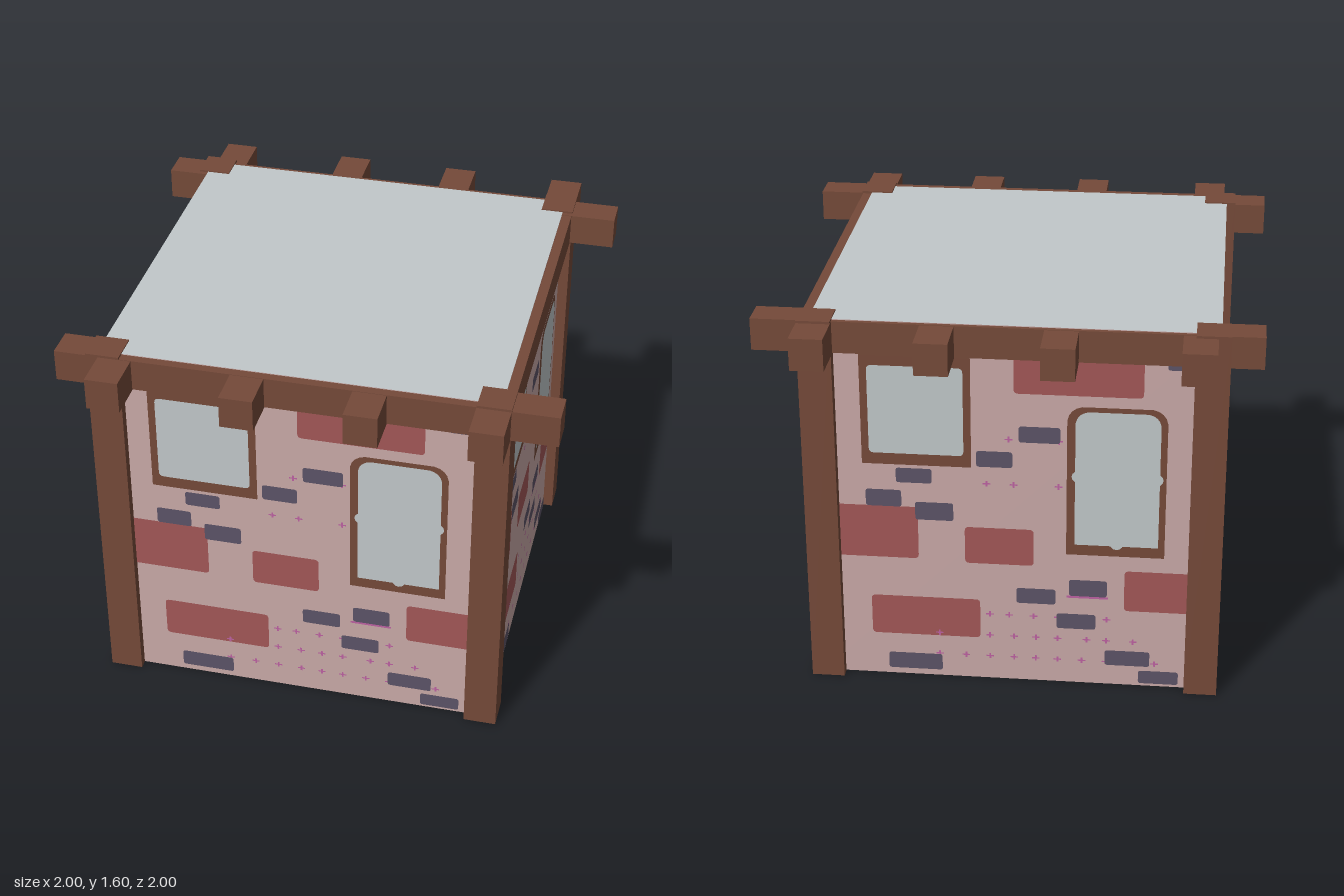
import * as THREE from 'three';

const paint = (name, color) => {
  const m = new THREE.MeshStandardMaterial({ color });
  m.name = name;
  return m;
};

// Rounded rectangle from its left, right, bottom and top edges
function plateShape([l, r, b, t], rad) {
  const s = new THREE.Shape();
  s.moveTo(l + rad, b);
  s.lineTo(r - rad, b).quadraticCurveTo(r, b, r, b + rad);
  s.lineTo(r, t - rad).quadraticCurveTo(r, t, r - rad, t);
  s.lineTo(l + rad, t).quadraticCurveTo(l, t, l, t - rad);
  s.lineTo(l, b + rad).quadraticCurveTo(l, b, l + rad, b);
  return s;
}

// Window outline with a square sill and clipped upper corners
function archShape([l, r, b, t], c) {
  const s = new THREE.Shape();
  s.moveTo(l, b);
  s.lineTo(r, b).lineTo(r, t - c);
  s.quadraticCurveTo(r - c * 0.15, t - c * 0.15, r - c, t);
  s.lineTo(l + c, t).quadraticCurveTo(l + c * 0.15, t - c * 0.15, l, t - c);
  return s;
}

// Wall details as [left, right, bottom, top], measured from the wall centre
const redBricks = [
  [0, 0.51, 1.31, 1.592], [-0.78, -0.39, 0.555, 0.79], [-0.2, 0.08, 0.545, 0.71],
  [0.45, 0.78, 0.355, 0.54], [-0.59, -0.14, 0.195, 0.375],
];
const slateBricks = [
  [0.02, 0.185, 1.1, 1.17], [-0.15, -0.005, 0.985, 1.055], [-0.475, -0.33, 0.9, 0.965],
  [-0.6, -0.455, 0.79, 0.865], [-0.4, -0.245, 0.735, 0.815], [0.01, 0.17, 0.37, 0.44],
  [0.225, 0.38, 0.415, 0.49], [0.175, 0.335, 0.26, 0.33], [0.375, 0.56, 0.095, 0.165],
  [0.515, 0.68, 0.015, 0.075], [-0.525, -0.3, 0.03, 0.105], [0.6, 0.68, 1.435, 1.5],
  [-0.455, -0.295, 1.44, 1.51],
];
// Speck rows as [height, positions along the wall]
const speckRows = [
  [0.11, [-0.31, -0.2, -0.1, 0, 0.09, 0.18, 0.28, 0.38, 0.58]],
  [0.21, [-0.31, -0.1, 0, 0.09, 0.18, 0.3, 0.38, 0.49]],
  [0.31, [-0.1, -0.02, 0.08, 0.18, 0.38]],
  [0.91, [-0.11, 0, 0.18]], [1.11, [-0.02, 0.18]],
];

export function createModel() {
  const root = new THREE.Group();
  root.name = 'timberHouse';
  const timber = paint('timber brown', 0x754a39);
  const plaster = paint('pink plaster', 0xc9a9a7);
  const red = paint('red brick', 0xa25757);
  const slate = paint('slate brick', 0x5c5367);
  const glass = paint('pale grey', 0xc1c8ca);
  const floor = paint('dark floor', 0x5a656f);
  const pink = paint('magenta speck', 0xbd62a2);

  const add = (parent, name, geometry, material) => {
    const mesh = new THREE.Mesh(geometry, material);
    mesh.name = name;
    parent.add(mesh);
    return mesh;
  };
  const block = (name, x0, x1, y0, y1, z0, z1, material = timber) => {
    const mesh = add(root, name, new THREE.BoxGeometry(x1 - x0, y1 - y0, z1 - z0), material);
    mesh.position.set((x0 + x1) / 2, (y0 + y1) / 2, (z0 + z1) / 2);
  };

  // House body with its flat roof and floor
  const cx = -0.03, half = 0.802;
  block('body', cx - half, cx + half, 0.002, 1.595, -half, half,
    [plaster, plaster, glass, floor, plaster, plaster]);

  // Corner posts
  for (const [x0, x1] of [[-0.87, -0.735], [0.68, 0.815]])
    for (const [z0, z1] of [[0.705, 0.84], [-0.845, -0.71]])
      block('cornerPost', x0, x1, 0, 1.6, z0, z1);

  // Long beams along the front and back
  block('frontBeam', -1, 1, 1.46, 1.592, 0.706, 0.839);
  block('backBeam', -1, 1, 1.46, 1.592, -0.82, -0.69);

  // Joists running front to back, poking out at both ends
  for (const x of [-0.82, -0.285, 0.2, 0.679])
    block('joist', x, x + 0.134, 1.457, 1.59, -1, 1);

  // The same painted decoration on all four walls
  for (let i = 0; i < 4; i++) {
    const wall = new THREE.Group();
    wall.name = ['frontWall', 'rightWall', 'backWall', 'leftWall'][i];
    wall.position.x = cx;
    wall.rotation.y = i * Math.PI / 2;
    root.add(wall);
    const plate = (name, shape, material, lift) => {
      add(wall, name, new THREE.ShapeGeometry(shape, 4), material).position.z = half + lift;
    };

    redBricks.forEach(b => plate('redBrick', plateShape(b, 0.018), red, 0.002));
    slateBricks.forEach(b => plate('slateBrick', plateShape(b, 0.012), slate, 0.004));

    // Small flecks: a short dash with a tiny upright
    const fleck = (u, y, w, h) =>
      plate('speck', plateShape([u - w, u + w, y - h, y + h], 0.001), pink, 0.003);
    for (const [y, us] of speckRows)
      for (const u of us) {
        fleck(u, y, 0.016, 0.003);
        fleck(u, y, 0.004, 0.013);
      }
    fleck(0.3, 0.41, 0.085, 0.005);

    // Square window
    plate('squareWindowFrame', plateShape([-0.61, -0.17, 0.98, 1.455], 0.004), timber, 0.005);
    plate('squareWindowGlass', plateShape([-0.58, -0.2, 1.03, 1.41], 0.02), glass, 0.007);

    // Tall window with clipped corners and small bulges in the pane
    plate('tallWindowFrame', archShape([0.212, 0.608, 0.608, 1.265], 0.06), timber, 0.005);
    plate('tallWindowGlass', archShape([0.245, 0.582, 0.655, 1.245], 0.05), glass, 0.007);
    for (const [u, y] of [[0.257, 0.96], [0.57, 0.96], [0.415, 0.665]]) {
      const bulge = add(wall, 'tallWindowBulge', new THREE.CircleGeometry(0.026, 12), glass);
      bulge.position.set(u, y, half + 0.0075);
    }
  }
  // Side walls turn about the body centre
  return root;
}
